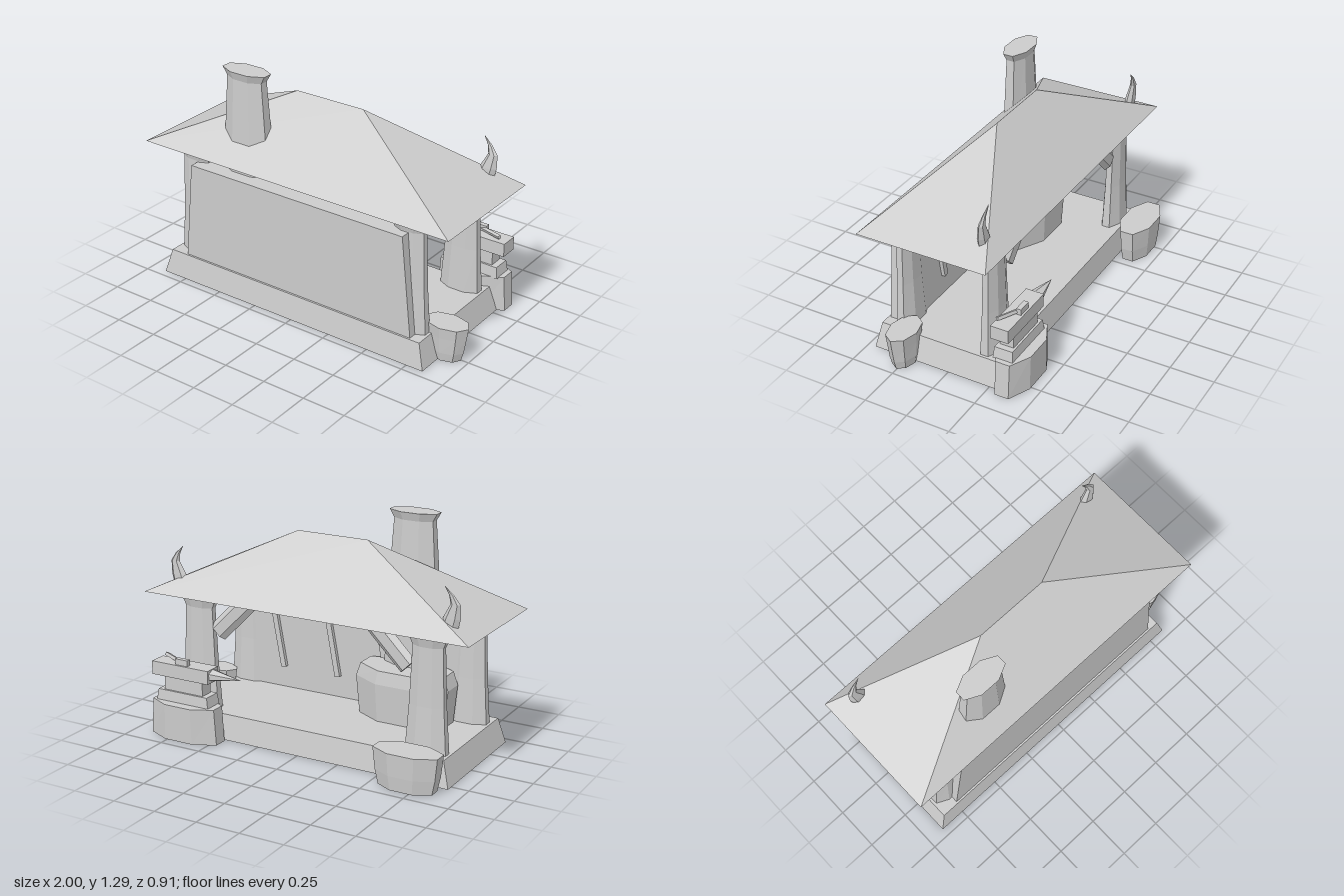
import * as THREE from 'three';

// Double-sided because the plinth is an open shell underneath
const stone = new THREE.MeshStandardMaterial({ color: 0xcccccc, side: THREE.DoubleSide });
stone.name = 'plain grey';

// Faceted solid from rings [y, halfWidthX, halfWidthZ, shiftX, shiftZ]
// turn 0.5 puts flats on the axes, turn 0 puts corners there
function loft(sides, rings, { turn = 0.5, openBottom = false } = {}) {
  const k = turn ? 1 / Math.cos(Math.PI / sides) : 1;
  const point = (r, i) => {
    const [y, rx, rz, dx = 0, dz = 0] = r;
    const a = ((i + turn) * 2 * Math.PI) / sides;
    return [dx + Math.sin(a) * rx * k, y, dz + Math.cos(a) * rz * k];
  };
  const center = ([y, , , dx = 0, dz = 0]) => [dx, y, dz];
  const pos = [];
  const first = rings[0], last = rings[rings.length - 1];
  for (let i = 0; i < sides; i++) {
    for (let j = 0; j < rings.length - 1; j++) {
      const a = point(rings[j], i), b = point(rings[j], i + 1);
      const c = point(rings[j + 1], i + 1), d = point(rings[j + 1], i);
      pos.push(...a, ...b, ...c, ...a, ...c, ...d);
    }
    if (!openBottom) pos.push(...center(first), ...point(first, i + 1), ...point(first, i));
    pos.push(...center(last), ...point(last, i), ...point(last, i + 1));
  }
  const g = new THREE.BufferGeometry();
  g.setAttribute('position', new THREE.Float32BufferAttribute(pos, 3));
  g.computeVertexNormals();
  return g;
}

export function createModel() {
  const model = new THREE.Group();
  model.name = 'smithy';

  const add = (name, geometry, x = 0, y = 0, z = 0, parent = model) => {
    const m = new THREE.Mesh(geometry, stone);
    m.name = name;
    m.position.set(x, y, z);
    parent.add(m);
    return m;
  };
  // Straight bar between two points, with a chosen number of sides
  const bar = (name, from, to, w, d, sides = 4, parent = model) => {
    const a = new THREE.Vector3(...from), b = new THREE.Vector3(...to);
    const m = add(name, loft(sides, [[0, w / 2, d / 2], [a.distanceTo(b), w / 2, d / 2]]), ...from, parent);
    m.quaternion.setFromUnitVectors(new THREE.Vector3(0, 1, 0), b.sub(a).normalize());
    return m;
  };

  // Hollow plinth, front wall and hipped roof
  add('plinth', loft(4, [[0, 0.875, 0.373], [0.143, 0.835, 0.348]], { openBottom: true }), -0.025, 0, 0.083);
  add('frontWall', loft(4, [[0.138, 0.752, 0.065], [0.715, 0.692, 0.065]]), -0.005, 0, 0.355);
  add('roof', loft(4, [[0.79, 0.985, 0.377], [1.155, 0.213, 0]]), -0.015, 0, 0.068);

  // Four pillars with flared heads
  const pillar = loft(8, [[0.135, 0.118, 0.056], [0.4, 0.1, 0.045], [0.72, 0.087, 0.039], [0.795, 0.12, 0.056]]);
  for (const x of [-0.727, 0.677]) {
    add('frontPillar', pillar, x, 0, 0.327);
    add('backPillar', pillar, x, 0, -0.188);
  }

  // Short diagonal braces and curved roof horns, mirrored about the building's middle
  for (const s of [-1, 1]) {
    const mid = -0.026;
    bar('brace', [mid + s * 0.585, 0.59, -0.19], [mid + s * 0.39, 0.785, -0.19], 0.1, 0.05, 6);
    add('roofHorn', loft(6, [
      [0.82, 0.045, 0.024, s * 0.81],
      [0.89, 0.042, 0.021, s * 0.83, -0.002],
      [0.965, 0.024, 0.013, s * 0.85, -0.006],
      [1.01, 0.013, 0.007, s * 0.83, -0.01],
      [1.055, 0.001, 0.001, s * 0.793, -0.014],
    ]), mid, 0, -0.2);
  }

  // Forge basin with its chimney
  add('forgeBasin', loft(8, [[0.138, 0.26, 0.14], [0.36, 0.28, 0.152], [0.435, 0.255, 0.14]]), -0.41, 0, 0.197);
  add('chimney', loft(8, [[0.138, 0.165, 0.082], [0.75, 0.15, 0.075], [1.25, 0.115, 0.056], [1.295, 0.14, 0.069]]), -0.41, 0, 0.269);

  // Tools hung on the inside of the wall
  for (const x of [0.45, 0.095, -0.23]) {
    bar('wallTool', [x - 0.03, 0.27, 0.277], [x + 0.03, 0.59, 0.277], 0.032, 0.022);
  }

  // Buckets beside the building
  add('backBucket', loft(8, [[0, 0.155, 0.078], [0.08, 0.172, 0.086], [0.205, 0.185, 0.093]]), -0.705, 0, -0.365);
  add('sideBucket', loft(8, [[0, 0.09, 0.06], [0.05, 0.105, 0.068], [0.14, 0.12, 0.074], [0.203, 0.13, 0.08]], { turn: 0 }), 0.866, 0, 0.255);

  // Anvil on a stump, with a hammer lying on top
  const anvil = new THREE.Group();
  anvil.name = 'anvil';
  anvil.position.set(0.68, 0, -0.33);
  model.add(anvil);
  add('stump', loft(8, [[0, 0.215, 0.097], [0.205, 0.202, 0.1]]), -0.005, 0, -0.014, anvil);
  add('anvilFoot', loft(4, [[0.2, 0.17, 0.058], [0.265, 0.16, 0.052]]), 0, 0, 0, anvil);
  add('anvilWaist', new THREE.BoxGeometry(0.25, 0.085, 0.08), 0, 0.305, 0, anvil);
  add('anvilBody', new THREE.BoxGeometry(0.37, 0.077, 0.104), 0.015, 0.383, 0, anvil);
  const horn = add('anvilHorn', loft(6, [[0, 0.03, 0.04], [0.18, 0.001, 0.001]]), -0.168, 0.385, 0, anvil);
  horn.rotation.z = Math.PI / 2;
  add('hammerHead', new THREE.BoxGeometry(0.08, 0.035, 0.028), 0.01, 0.438, -0.027, anvil);
  bar('hammerHandle', [0.01, 0.432, -0.025], [0.16, 0.445, 0.035], 0.018, 0.018, 4, anvil);

  return model;
}
